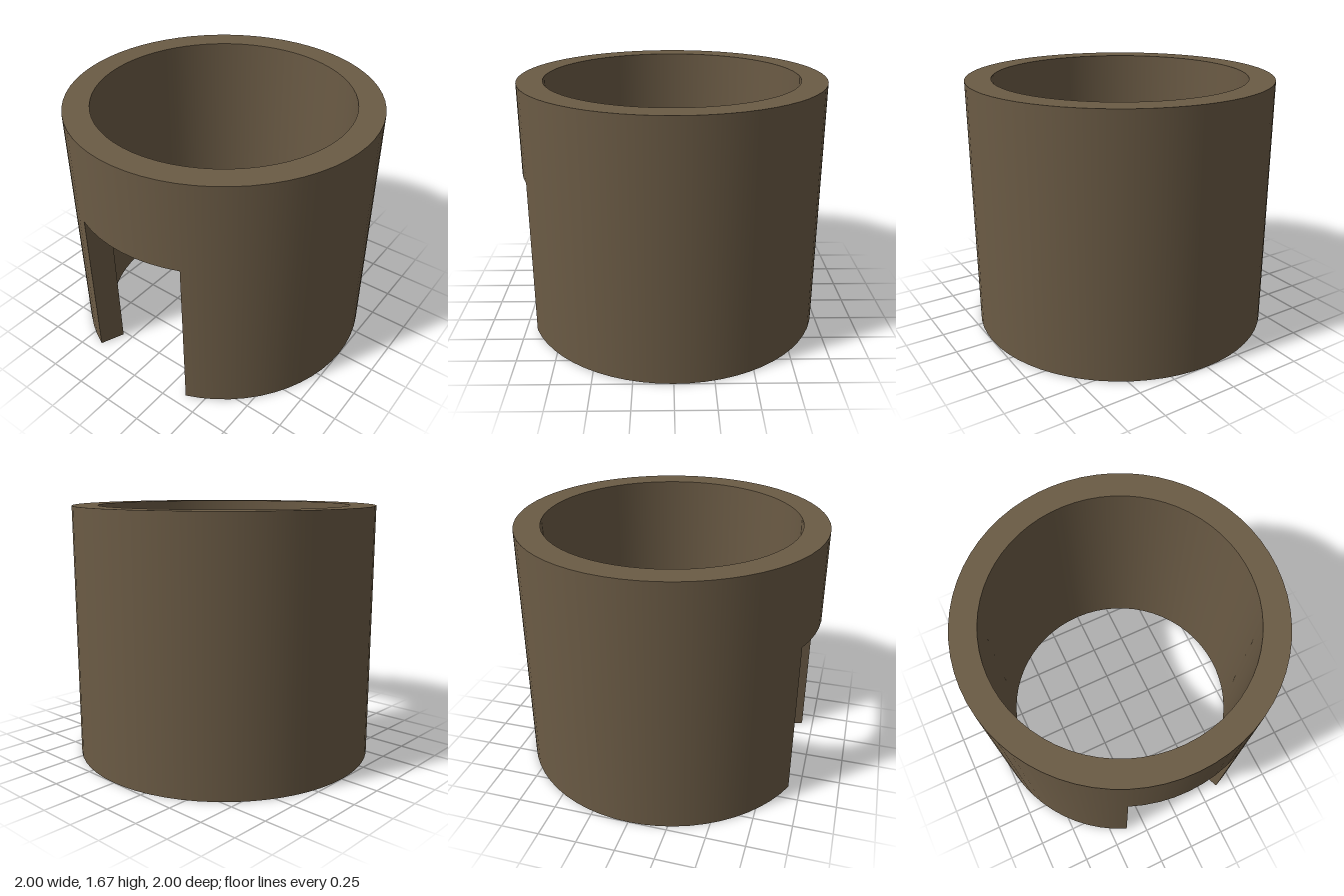
import * as THREE from 'three';

const OUTER = 1, INNER = 0.833, HEIGHT = 1.667, DOOR_TOP = 1.07;
const HALF = Math.PI / 8;          // half the angle of the doorway
const FULL = Math.PI * 2;
const SEGMENTS = 64;

export function createModel() {
  const model = new THREE.Group();
  model.name = 'roundTower';
  const brown = new THREE.MeshStandardMaterial({ color: 0x6b5b45 });
  brown.name = 'earthBrown';

  const add = (name, geometry) => {
    const mesh = new THREE.Mesh(geometry, brown);
    mesh.name = name;
    model.add(mesh);
    return mesh;
  };

  // Sweeps one straight profile edge round the axis; separate edges stay sharp
  const sweep = (name, r0, y0, r1, y1, start, angle) => add(name, new THREE.LatheGeometry(
    [new THREE.Vector2(r0, y0), new THREE.Vector2(r1, y1)],
    Math.round(SEGMENTS * angle / FULL), start, angle));

  // Unbroken ring above the doorway
  sweep('upperOuterWall', OUTER, DOOR_TOP, OUTER, HEIGHT, HALF, FULL);
  sweep('upperInnerWall', INNER, HEIGHT, INNER, DOOR_TOP, HALF, FULL);
  sweep('topRim', OUTER, HEIGHT, INNER, HEIGHT, HALF, FULL);

  // Lower wall, open at the front
  const arc = FULL - 2 * HALF;
  sweep('lowerOuterWall', OUTER, 0, OUTER, DOOR_TOP, HALF, arc);
  sweep('lowerInnerWall', INNER, DOOR_TOP, INNER, 0, HALF, arc);
  sweep('bottomRim', INNER, 0, OUTER, 0, HALF, arc);

  // Underside of the lintel
  sweep('doorwaySoffit', INNER, DOOR_TOP, OUTER, DOOR_TOP, -HALF, 2 * HALF);

  // Radial faces at both sides of the doorway
  const middle = (OUTER + INNER) / 2;
  for (const side of [1, -1]) {
    const jamb = add(side > 0 ? 'leftJamb' : 'rightJamb',
      new THREE.PlaneGeometry(OUTER - INNER, DOOR_TOP));
    jamb.position.set(side * middle * Math.sin(HALF), DOOR_TOP / 2, middle * Math.cos(HALF));
    jamb.rotation.y = side * (HALF - Math.PI / 2);
  }

  return model;
}
